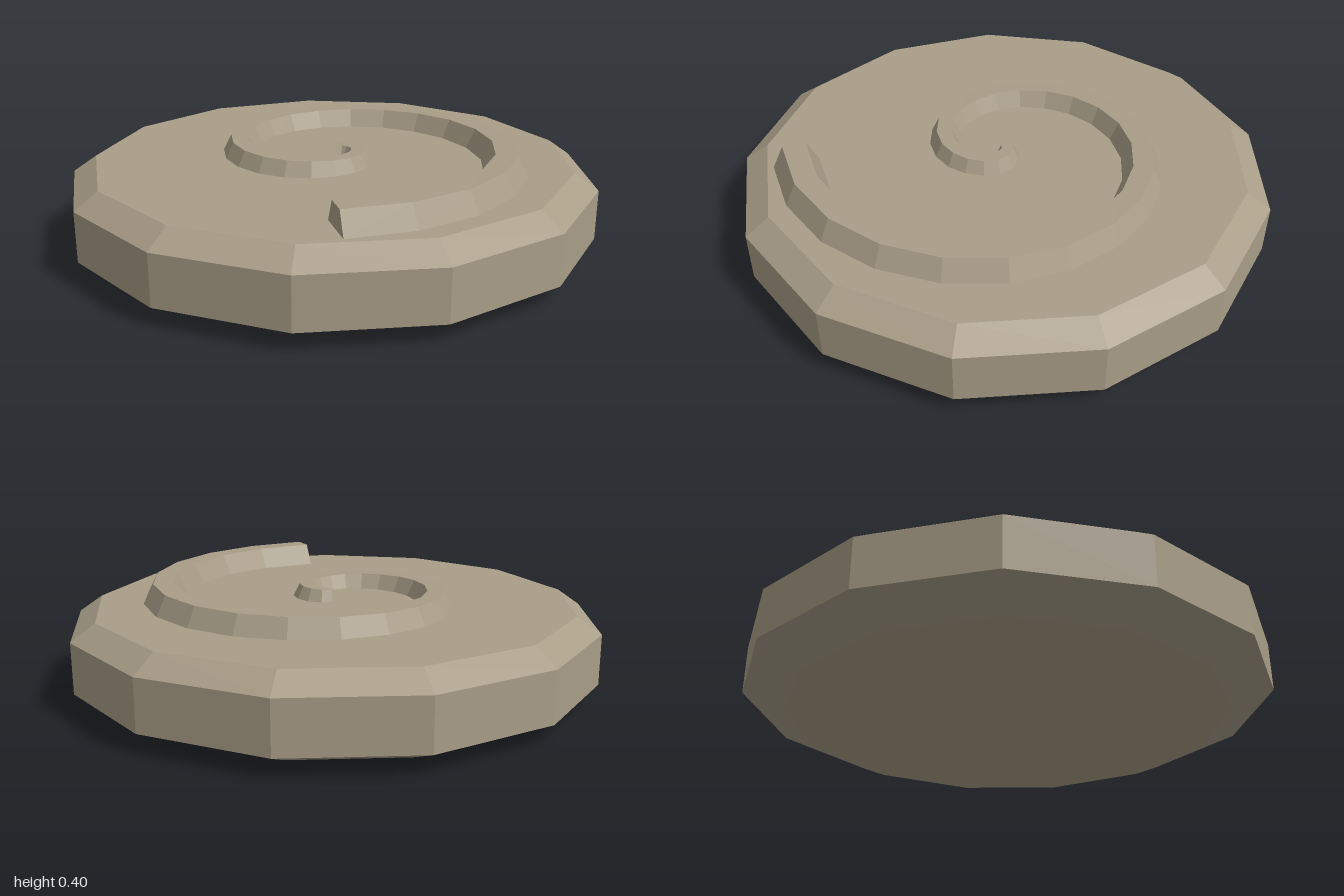
import * as THREE from 'three';

const stone = new THREE.MeshStandardMaterial({ color: 0xa89d87, flatShading: true });
stone.name = 'stone';

const CENTRE_X = 0.0144;
const TOP = 0.322;

// Thirteen-sided slab with bevelled rims
function makeDisc() {
  const profile = [[0, 0], [0.845, 0], [1.0073, 0.072], [1.0073, 0.26], [0.918, TOP], [0, TOP]]
    .map(([r, y]) => new THREE.Vector2(r, y));
  const disc = new THREE.Mesh(new THREE.LatheGeometry(profile, 13, -Math.PI / 2), stone);
  disc.name = 'disc';
  return disc;
}

// Raised spiral: a trapezoid section swept outward, growing wider and taller
function makeSpiral() {
  const steps = 28;
  const sweep = THREE.MathUtils.degToRad(477);
  const point = (t) => {
    const a = t * sweep;
    const r = 0.02 + 0.0923 * a;
    return new THREE.Vector2(r * Math.cos(a), r * Math.sin(a));
  };
  const positions = [];
  const index = [];
  for (let i = 0; i <= steps; i++) {
    const t = i / steps;
    const p = point(t);
    const tangent = point(Math.min(1, (i + 1) / steps))
      .sub(point(Math.max(0, (i - 1) / steps))).normalize();
    const half = THREE.MathUtils.lerp(0.045, 0.087, t);
    const height = THREE.MathUtils.lerp(0.365, 0.404, t);
    // outer base, outer top, inner top, inner base
    for (const [s, y] of [[1, TOP - 0.002], [0.5, height], [-0.5, height], [-1, TOP - 0.002]]) {
      positions.push(p.x + tangent.y * half * s, y, p.y - tangent.x * half * s);
    }
  }
  for (let i = 0; i < steps; i++) {
    for (let k = 0; k < 4; k++) {
      const a = i * 4 + k;
      const b = i * 4 + (k + 1) % 4;
      index.push(a, b, a + 4, b, b + 4, a + 4);
    }
  }
  // End caps
  const e = steps * 4;
  index.push(0, 2, 1, 0, 3, 2, e, e + 1, e + 2, e, e + 2, e + 3);

  const geometry = new THREE.BufferGeometry();
  geometry.setAttribute('position', new THREE.Float32BufferAttribute(positions, 3));
  geometry.setIndex(index);
  const flat = geometry.toNonIndexed();
  flat.computeVertexNormals();
  const spiral = new THREE.Mesh(flat, stone);
  spiral.name = 'spiralRidge';
  return spiral;
}

export function createModel() {
  const group = new THREE.Group();
  group.name = 'spiralStone';
  group.add(makeDisc(), makeSpiral());
  group.children.forEach((part) => { part.position.x = CENTRE_X; });
  return group;
}
